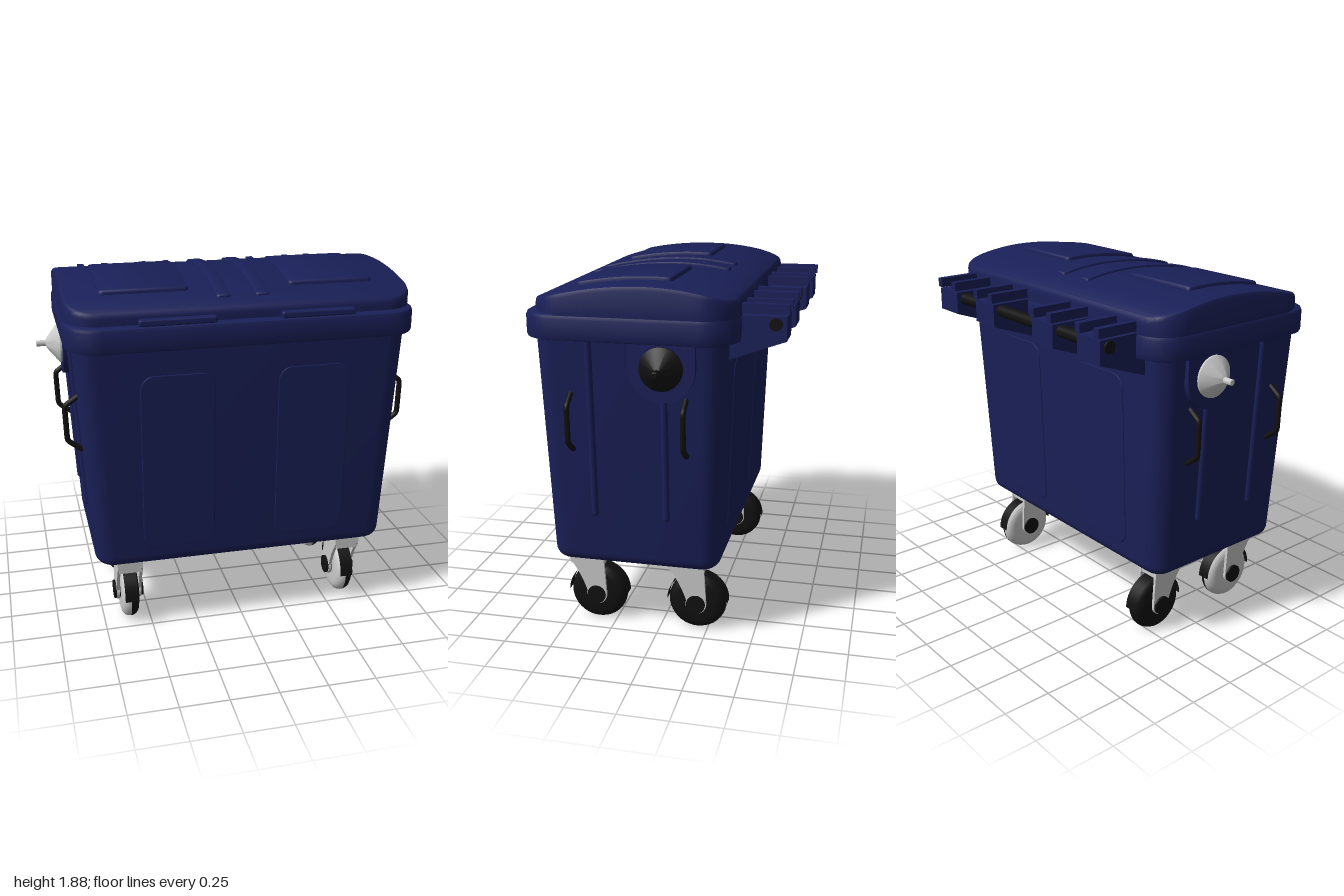
import * as THREE from 'three';
import { toCreasedNormals } from 'three/addons/utils/BufferGeometryUtils.js';
import { RoundedBoxGeometry } from 'three/addons/geometries/RoundedBoxGeometry.js';

const mat = (color, side = THREE.FrontSide) => new THREE.MeshStandardMaterial({ color, side });
const CZ = 0.11; // centre of the tub in z
const halfX = (y) => 0.79 + (y - 0.45) * 0.053;
const halfZ = (y) => 0.44 + (y - 0.45) * 0.03;
const arch = (z) => 1.857 - (z > 0.02 ? 0.283 : 0.37) * (z - 0.02) ** 2;

// Skin through closed rings of equal length, with a fan cap at both ends
function loft(rings) {
  const n = rings[0].length, pos = rings.flat(2), idx = [];
  for (let i = 0; i < rings.length - 1; i++) {
    for (let j = 0; j < n; j++) {
      const a = i * n + j, b = i * n + (j + 1) % n;
      idx.push(a, b, a + n, b, b + n, a + n);
    }
  }
  [0, rings.length - 1].forEach((i) => {
    const c = pos.length / 3;
    for (let k = 0; k < 3; k++) pos.push(rings[i].reduce((s, p) => s + p[k], 0) / n);
    for (let j = 0; j < n; j++) {
      const a = i * n + j, b = i * n + (j + 1) % n;
      if (i) idx.push(a, b, c); else idx.push(b, a, c);
    }
  });
  const g = new THREE.BufferGeometry();
  g.setAttribute('position', new THREE.Float32BufferAttribute(pos, 3));
  g.setIndex(idx);
  return toCreasedNormals(g, 0.6);
}

// Horizontal rounded rectangle
function ring(hx, hz, r, y) {
  const out = [];
  [[1, 1], [-1, 1], [-1, -1], [1, -1]].forEach(([sx, sz], q) => {
    for (let i = 0; i <= 8; i++) {
      const t = (q + i / 8) * Math.PI / 2;
      out.push([sx * (hx - r) + r * Math.cos(t), y, CZ - sz * (hz - r) - r * Math.sin(t)]);
    }
  });
  return out;
}

// Slab following the lid arch, with rounded plan corners r and top bevel b
function archSlab(cx, hw, z0, z1, r, b, off) {
  const ds = [];
  for (let i = 0; i <= 10; i++) ds.push(r * (1 - Math.cos(i / 10 * Math.PI / 2)));
  const zs = ds.map((d) => z0 + d);
  for (let i = 1; i < 20; i++) zs.push(z0 + r + (z1 - z0 - 2 * r) * i / 20);
  zs.push(...ds.reverse().map((d) => z1 - d));
  return loft(zs.map((z) => {
    const d = Math.max(0, Math.min(z - z0, z1 - z));
    const w = d < r ? hw - r + Math.sqrt(Math.max(0, r * r - (r - d) ** 2)) : hw;
    const top = arch(z) + off - (d < b ? b - Math.sqrt(b * b - (b - d) ** 2) : 0);
    const half = [[w, 1.7], [w, top - b], [w - b * 0.3, top - b * 0.3], [w - b, top]];
    return [...half, ...half.map(([x, y]) => [-x, y]).reverse()].map(([x, y]) => [cx + x, y, z]);
  }));
}

// Outline in (z, y), given thickness along x and centred on x = 0
function sideExtrude(shape, depth) {
  const g = new THREE.ExtrudeGeometry(shape, { depth, bevelEnabled: false, curveSegments: 20 });
  return g.translate(0, 0, -depth / 2).rotateY(-Math.PI / 2);
}

const lathe = (pts, seg = 40) =>
  toCreasedNormals(new THREE.LatheGeometry(pts.map(([x, y]) => new THREE.Vector2(x, y)), seg), 0.6);

function roundedRect(w, h, r) {
  const s = new THREE.Shape(), x = w / 2 - r, y = h / 2 - r;
  s.absarc(x, y, r, 0, Math.PI / 2);
  s.absarc(-x, y, r, Math.PI / 2, Math.PI);
  s.absarc(-x, -y, r, Math.PI, Math.PI * 1.5);
  s.absarc(x, -y, r, Math.PI * 1.5, Math.PI * 2);
  return s;
}

export function createModel() {
  const model = new THREE.Group();
  const blue = mat(0x1a2058), black = mat(0x111111), grey = mat(0xcccccc);
  const blackThin = mat(0x111111, THREE.DoubleSide);
  const add = (name, geo, material, x = 0, y = 0, z = 0, parent = model) => {
    const m = new THREE.Mesh(geo, material);
    m.name = name;
    m.position.set(x, y, z);
    parent.add(m);
    return m;
  };

  // Tapered tub with a rounded lower edge
  const tub = [];
  for (let i = 0; i <= 6; i++) {
    const t = i / 6 * Math.PI / 2, inset = 0.06 * (1 - Math.sin(t)), y = 0.45 - 0.06 * Math.cos(t);
    tub.push(ring(halfX(0.45) - inset, halfZ(0.45) - inset, 0.1 - inset, y));
  }
  tub.push(ring(halfX(1.6), halfZ(1.6), 0.1, 1.6));
  add('tub', loft(tub), blue);

  // Rim collar
  add('rim', loft([[0.015, 1.58], [0.004, 1.584], [0, 1.595], [0, 1.685], [0.006, 1.7], [0.02, 1.708]]
    .map(([i, y]) => ring(0.895 - i, 0.53 - i, 0.17 - i, y))), blue);

  // Arched lid with raised panels, ribs and front grips
  add('lid', archSlab(0, 0.887, -0.42, 0.592, 0.17, 0.025, 0), blue);
  for (const s of [-1, 1]) {
    add('lidPanel', archSlab(s * 0.483, 0.225, -0.086, 0.402, 0.025, 0.015, 0.02), blue);
    add('lidRib', archSlab(s * 0.1, 0.037, -0.257, 0.492, 0.015, 0.01, 0.012), blue);
    add('lidGrip', new RoundedBoxGeometry(0.38, 0.035, 0.08, 3, 0.01), blue, s * 0.353, 1.72, 0.588);
  }

  // Shallow raised panels on the front and back walls
  for (const turn of [0, Math.PI]) {
    const wall = new THREE.Group();
    wall.name = turn ? 'backPanels' : 'frontPanels';
    wall.position.z = CZ;
    wall.rotation.y = turn;
    model.add(wall);
    for (const s of [-1, 1]) {
      const g = new THREE.ExtrudeGeometry(roundedRect(0.37, 0.94, 0.07), {
        depth: 0.02, bevelThickness: 0.004, bevelSize: 0.004, bevelSegments: 2,
      });
      const p = add('wallPanel', g, blue, s * 0.353, 0.97, halfZ(0.97) - 0.02, wall);
      p.rotation.x = Math.atan(0.03);
    }
  }

  // Side walls: ribs, trunnion pads and pins, carrying handles
  const pad = new THREE.Shape();
  pad.moveTo(0.165, 0.13);
  pad.lineTo(-0.165, 0.13);
  pad.absarc(0, 0, 0.165, Math.PI, Math.PI * 2);
  for (const s of [-1, 1]) {
    for (const z of [0.3, -0.07]) {
      const rib = add('sideRib', new THREE.CapsuleGeometry(0.018, 0.9, 6, 16), blue, s * halfX(1.13), 1.13, z);
      rib.rotation.z = -s * Math.atan(0.053);
    }
    add('trunnionPad', sideExtrude(pad, 0.07), blue, s * 0.835, 1.463, -0.065);
    const pin = add('trunnion', lathe([[0.107, 0], [0.107, 0.03], [0.1, 0.036], [0.03, 0.092], [0.016, 0.1],
      [0.016, 0.147], [0.013, 0.15], [0, 0.15]]), s > 0 ? black : grey, s * 0.85, 1.463, -0.065);
    pin.rotation.z = -s * Math.PI / 2;
    for (const z of [0.4, -0.177]) {
      const path = new THREE.CurvePath();
      const p = [[0.83, 1.31], [0.9, 1.262], [0.895, 1.075], [0.82, 1.02]]
        .map(([x, y]) => new THREE.Vector3(s * x, y, z));
      const mid = (a, b, t) => a.clone().lerp(b, t);
      const a = mid(p[1], p[0], 0.2), b = mid(p[1], p[2], 0.1), c = mid(p[2], p[1], 0.1), d = mid(p[2], p[3], 0.2);
      path.add(new THREE.LineCurve3(p[0], a));
      path.add(new THREE.QuadraticBezierCurve3(a, p[1], b));
      path.add(new THREE.LineCurve3(b, c));
      path.add(new THREE.QuadraticBezierCurve3(c, p[2], d));
      path.add(new THREE.LineCurve3(d, p[3]));
      add('sideHandle', new THREE.TubeGeometry(path, 48, 0.014, 12), black);
    }
  }

  // Hinge brackets with lid arms, and the push bar through them
  const bracket = new THREE.Shape([[-0.34, 1.48], [-0.34, 1.705], [-0.635, 1.705], [-0.635, 1.587]]
    .map(([z, y]) => new THREE.Vector2(z, y)));
  for (const x of [-0.622, -0.258, 0.258, 0.622]) {
    add('hingeBracket', sideExtrude(bracket, 0.172), blue, x);
    for (const s of [-1, 1]) {
      add('lidArm', new THREE.BoxGeometry(0.036, 0.048, 0.265), blue, x + s * 0.07, 1.738, -0.5125);
    }
  }
  const bar = add('pushBar', new THREE.CylinderGeometry(0.031, 0.031, 1.44, 24), black, 0, 1.667, -0.583);
  bar.rotation.z = Math.PI / 2;

  // Castors: origin at the axle
  const fork = new THREE.Shape();
  fork.moveTo(-0.04, 0.245);
  fork.lineTo(-0.055, 0);
  fork.absarc(0, 0, 0.055, Math.PI, Math.PI * 2 + 0.35);
  fork.quadraticCurveTo(0.085, 0.12, 0.142, 0.19);
  fork.lineTo(0.142, 0.245);
  const halfTyre = lathe([[0.154, 0], [0.152, 0.014], [0.144, 0.03], [0.128, 0.042], [0.105, 0.047], [0.06, 0.047], [0, 0.047]]);
  for (const x of [-0.61, 0.61]) {
    for (const z of [0.348, -0.194]) {
      const castor = new THREE.Group();
      castor.name = 'castor';
      castor.position.set(x, 0.154, z);
      model.add(castor);
      for (const s of [-1, 1]) {
        const pale = s < 0 && !(x < 0 && z < 0);
        add('wheelHalf', halfTyre, pale ? grey : black, 0, 0, 0, castor).rotation.z = -s * Math.PI / 2;
        add('forkPlate', sideExtrude(fork, 0.016), grey, s * 0.06, 0, 0, castor);
      }
      add('forkCrown', new THREE.BoxGeometry(0.12, 0.075, 0.18), grey, 0, 0.205, 0.051, castor);
      const axle = add('axle', new THREE.CylinderGeometry(0.05, 0.05, 0.158, 28), black, 0, 0, 0, castor);
      axle.rotation.z = Math.PI / 2;
      // Thin guard arching over the wheel
      const guard = new THREE.CylinderGeometry(0.161, 0.161, 0.07, 32, 1, true, 0, Math.PI);
      add('wheelGuard', guard.rotateZ(Math.PI / 2), blackThin, 0, 0, 0, castor);
    }
  }
  return model;
}
